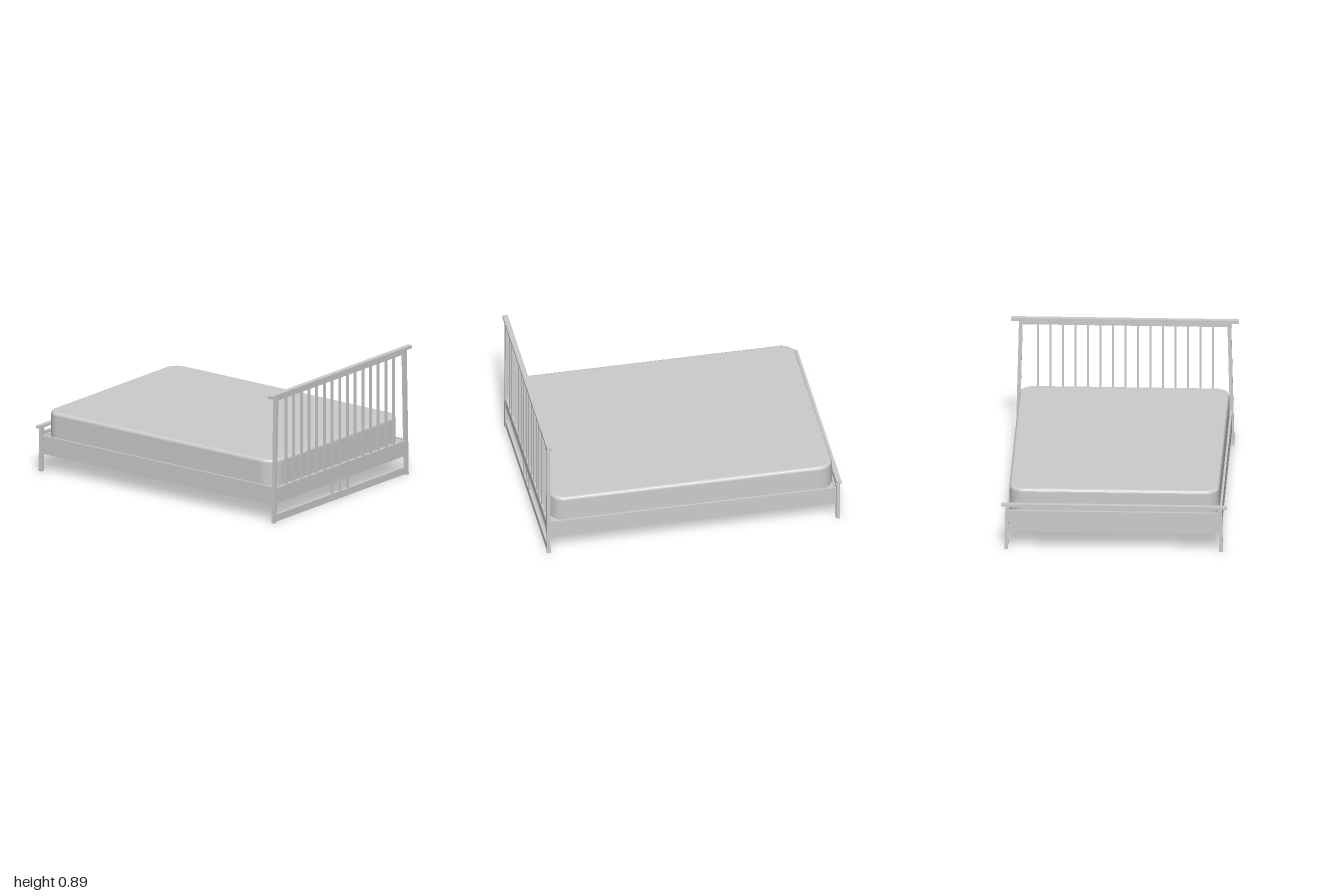
import * as THREE from 'three';

const grey = new THREE.MeshStandardMaterial({ color: 0xcccccc });

export function createModel() {
  const bed = new THREE.Group();
  bed.name = 'bed';

  const group = (name) => {
    const g = new THREE.Group();
    g.name = name;
    bed.add(g);
    return g;
  };

  // Box given by its low and high limits on each axis
  const box = (parent, name, [x0, x1], [y0, y1], [z0, z1]) => {
    const mesh = new THREE.Mesh(new THREE.BoxGeometry(x1 - x0, y1 - y0, z1 - z0), grey);
    mesh.position.set((x0 + x1) / 2, (y0 + y1) / 2, (z0 + z1) / 2);
    mesh.name = name;
    parent.add(mesh);
    return mesh;
  };

  // Square post that leans inwards towards the top
  const post = (parent, name, x, height, side, zBottom, zTop) => {
    const geo = new THREE.BoxGeometry(0.025, height, 0.025);
    const p = geo.attributes.position;
    for (let i = 0; i < p.count; i++) {
      const t = p.getY(i) / height + 0.5;
      p.setZ(i, p.getZ(i) + side * THREE.MathUtils.lerp(zBottom, zTop, t));
    }
    geo.computeVertexNormals();
    const mesh = new THREE.Mesh(geo, grey);
    mesh.position.set(x, height / 2, 0);
    mesh.name = name;
    parent.add(mesh);
  };

  const spindles = (parent, name, count, spacing, x, y) => {
    for (let i = 0; i < count; i++) {
      const z = (i - (count - 1) / 2) * spacing + 0.003;
      box(parent, name, [x - 0.007, x + 0.007], y, [z - 0.007, z + 0.007]);
    }
  };

  // Headboard
  const head = group('headboard');
  const hx = 0.982;
  for (const s of [-1, 1]) post(head, 'headPost', hx, 0.872, s, 0.716, 0.694);
  box(head, 'headCap', [0.965, 1], [0.87, 0.89], [-0.758, 0.758]);
  box(head, 'headUpperRail', [0.973, 0.991], [0.843, 0.866], [-0.69, 0.69]);
  box(head, 'headLowerPanel', [0.973, 0.991], [0.17, 0.24], [-0.706, 0.706]);
  box(head, 'headStretcher', [0.973, 0.991], [0.008, 0.056], [-0.712, 0.712]);
  spindles(head, 'headSpindle', 15, 0.0832, hx, [0.235, 0.848]);
  spindles(head, 'lowerSpindle', 3, 0.0832, hx, [0.05, 0.175]);

  // Footboard
  const foot = group('footboard');
  const fx = -0.982;
  for (const s of [-1, 1]) post(foot, 'footPost', fx, 0.306, s, 0.716, 0.708);
  box(foot, 'footCap', [-1, -0.966], [0.303, 0.32], [-0.75, 0.75]);
  box(foot, 'footRail', [-0.991, -0.973], [0.25, 0.272], [-0.706, 0.706]);
  spindles(foot, 'footSpindle', 3, 0.0832, fx, [0.268, 0.305]);

  // Side rails, end boards and base
  const frame = group('frame');
  for (const s of [-1, 1]) {
    const z = [s * 0.701, s * 0.714].sort((a, b) => a - b);
    box(frame, 'sideRail', [-0.972, 0.972], [0.12, 0.246], z);
  }
  box(frame, 'footEndBoard', [-0.978, -0.963], [0.12, 0.246], [-0.703, 0.703]);
  box(frame, 'headEndBoard', [0.955, 0.968], [0.135, 0.235], [-0.703, 0.703]);
  box(frame, 'base', [-0.965, 0.96], [0.119, 0.238], [-0.702, 0.702]);

  // Mattress with rounded corners and a soft upper edge
  const bevel = 0.022;
  const w = 0.96 - bevel, d = 0.699 - bevel, r = 0.08;
  const outline = new THREE.Shape();
  outline.absarc(w - r, d - r, r, 0, Math.PI / 2);
  outline.absarc(-w + r, d - r, r, Math.PI / 2, Math.PI);
  outline.absarc(-w + r, -d + r, r, Math.PI, Math.PI * 1.5);
  outline.absarc(w - r, -d + r, r, Math.PI * 1.5, Math.PI * 2);
  outline.closePath();
  const geo = new THREE.ExtrudeGeometry(outline, {
    depth: 0.203, bevelEnabled: true, bevelThickness: bevel, bevelSize: bevel,
    bevelSegments: 5, curveSegments: 10,
  });
  geo.rotateX(-Math.PI / 2);
  const mattress = new THREE.Mesh(geo, grey);
  mattress.name = 'mattress';
  mattress.position.set(-0.003, 0.192, 0);
  bed.add(mattress);

  return bed;
}
